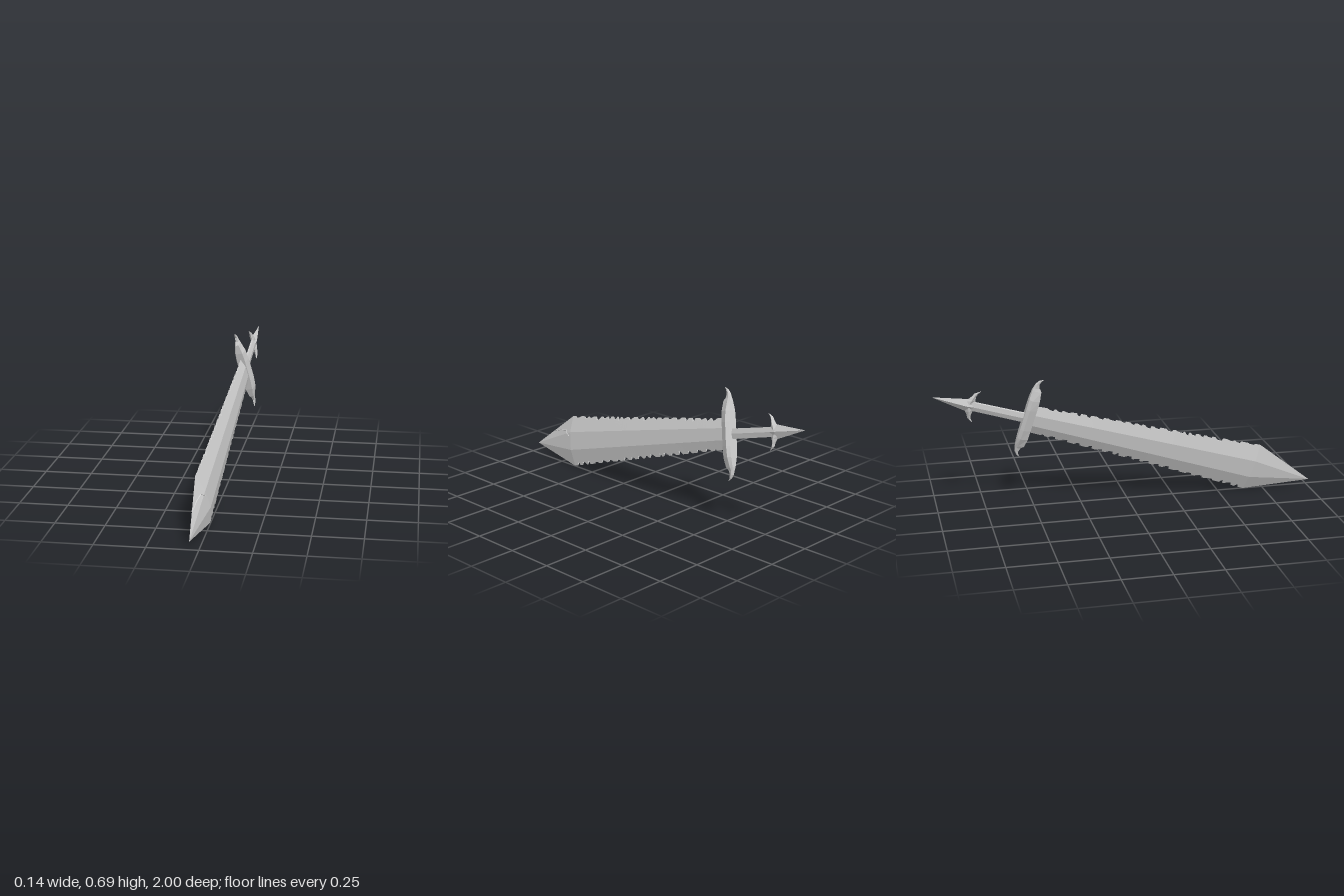
import * as THREE from 'three';

// Local frame: x runs from blade tip to pommel, y across the blade, z through it.
const material = new THREE.MeshStandardMaterial({ color: 0xcccccc, flatShading: true });

// Skin a row of equal-length closed cross-sections and cap both ends.
function loft(name, sections) {
  const pos = [];
  const tri = (a, b, c) => pos.push(...a, ...b, ...c);
  const n = sections[0].length;
  for (let i = 0; i < sections.length - 1; i++) {
    const s = sections[i], t = sections[i + 1];
    for (let j = 0; j < n; j++) {
      const k = (j + 1) % n;
      tri(s[j], s[k], t[k]);
      tri(s[j], t[k], t[j]);
    }
  }
  const first = sections[0], last = sections[sections.length - 1];
  for (let j = 1; j < n - 1; j++) {
    tri(first[0], first[j + 1], first[j]);
    tri(last[0], last[j], last[j + 1]);
  }
  const geometry = new THREE.BufferGeometry();
  geometry.setAttribute('position', new THREE.Float32BufferAttribute(pos, 3));
  geometry.computeVertexNormals();
  const mesh = new THREE.Mesh(geometry, material);
  mesh.name = name;
  return mesh;
}

function seeded(seed) {
  return () => (seed = (seed * 16807) % 2147483647) / 2147483647;
}

const SHOULDER = 0.335, BLADE_END = 1.56;

// Half width of the whole edge, and the ridges that bound the flat centre band.
function bladeSize(u) {
  const k = Math.min(u / SHOULDER, 1);
  const f = Math.max(0, (u - SHOULDER) / (BLADE_END - SHOULDER));
  return { half: k * (0.14 - 0.062 * f), ridge: k * (0.05 - 0.02 * f), thick: k * (0.027 - 0.01 * f) };
}

// Chipped edge: [position, depth] points, each chip a steep step and a sloping return.
function chips(seed) {
  const rnd = seeded(seed), pts = [[0, 0], [SHOULDER, 0]];
  let u = SHOULDER + 0.03;
  while (u < BLADE_END - 0.07) {
    const depth = 0.008 + 0.012 * rnd(), len = 0.018 + 0.028 * rnd();
    pts.push([u, 0], [u + 0.003, depth], [u + len * 0.6, depth * 0.75], [u + len, 0]);
    u += len + 0.006 + 0.035 * rnd();
  }
  pts.push([BLADE_END, 0]);
  return pts;
}

function depthAt(pts, u) {
  const i = pts.findIndex((p) => p[0] >= u);
  if (i <= 0) return 0;
  const [u0, d0] = pts[i - 1], [u1, d1] = pts[i];
  return d0 + (d1 - d0) * (u - u0) / (u1 - u0);
}

function makeBlade() {
  const top = chips(4211), bottom = chips(90127);
  const stations = [...new Set([...top, ...bottom].map((p) => p[0]))].sort((a, b) => a - b);
  return loft('blade', stations.map((u) => {
    const { half, ridge, thick } = bladeSize(u);
    const edge = (d) => thick * Math.min(1, d / Math.max(half - ridge, 0.001));
    const dt = depthAt(top, u), db = depthAt(bottom, u);
    const a = edge(dt), b = edge(db);
    return [
      [u, half - dt, -a], [u, half - dt, a], [u, ridge, thick], [u, -ridge, thick],
      [u, db - half, b], [u, db - half, -b], [u, -ridge, -thick], [u, ridge, -thick],
    ];
  }));
}

// Fine crack running in from the edge of the point.
function makeCrack() {
  const path = [[0.152, 0.062, 0.002], [0.229, 0.067, 0.004], [0.286, 0.063, 0.005], [0.305, 0.042, 0.005], [0.325, 0.028, 0.001]];
  return loft('crack', path.map(([u, v, r]) => {
    const { half, ridge, thick } = bladeSize(u);
    const w = thick * Math.min(1, Math.max(0, (half - v) / (half - ridge)));
    return [[u, v + r, w - 0.003], [u, v, w + 0.003], [u, v - r, w - 0.003]];
  }));
}

// Crossguard: faceted bar whose ends sweep into curled horns.
function makeGuard() {
  // [distance from centre, shift along sword, half length, half depth]
  const half = [
    [0.06, 0, 0.028, 0.036], [0.115, 0, 0.028, 0.031], [0.165, 0.002, 0.024, 0.016],
    [0.18, 0.008, 0.015, 0.011], [0.203, 0.008, 0.009, 0.008], [0.222, -0.002, 0.006, 0.005],
    [0.233, -0.016, 0.001, 0.001],
  ];
  const rows = [...half.map(([v, ...r]) => [-v, ...r]).reverse(), ...half];
  return loft('crossguard', rows.map(([v, s, l, w]) => {
    const c = 1.578 + s;
    return [
      [c - l, v, 0.6 * w], [c + 0.4 * l, v, w], [c + l, v, 0.65 * w],
      [c + l, v, -0.65 * w], [c + 0.4 * l, v, -w], [c - l, v, -0.6 * w],
    ];
  }));
}

// Grip: slim six-sided bar.
function makeGrip() {
  return loft('grip', [[1.59, 0.026], [1.89, 0.024]].map(([u, h]) => [
    [u, h, -0.006], [u, h, 0.006], [u, 0, 0.012], [u, -h, 0.006], [u, -h, -0.006], [u, 0, -0.012],
  ]));
}

// Pommel: diamond-section spike with a pair of hooked barbs.
function makePommel() {
  const group = new THREE.Group();
  group.name = 'pommel';
  const rows = [[1.862, 0.026, 0.012], [1.9, 0.036, 0.018], [2.083, 0.0005, 0.0005]];
  group.add(loft('pommelSpike', rows.map(([u, h, w]) => [[u, h, 0], [u, 0, w], [u, -h, 0], [u, 0, -w]])));
  for (const side of [1, -1]) {
    // [distance from axis, start, end, half depth]
    const barb = [
      [0.012, 1.86, 1.925, 0.014], [0.035, 1.866, 1.904, 0.013], [0.055, 1.868, 1.89, 0.01],
      [0.073, 1.863, 1.882, 0.007], [0.091, 1.852, 1.855, 0.001],
    ];
    const sections = barb.map(([v, a, b, w]) => {
      const m = (a + b) / 2;
      return [[a, side * v, 0], [m, side * v, w], [b, side * v, 0], [m, side * v, -w]];
    });
    // Sections run upward in y on both sides so faces stay outward.
    if (side < 0) sections.reverse();
    const mesh = loft(side > 0 ? 'upperBarb' : 'lowerBarb', sections.map((s) => [s[0], s[1], s[2], s[3]]));
    group.add(mesh);
  }
  return group;
}

export function createModel() {
  const sword = new THREE.Group();
  sword.name = 'sword';
  sword.add(makeBlade(), makeCrack(), makeGuard(), makeGrip(), makePommel());

  // Lay the sword at a slant, slightly rolled, point forward and down.
  const along = new THREE.Vector3(0.08, 0.575, -2).normalize();
  const across = new THREE.Vector3(-0.215, 0.94, 0.262);
  across.addScaledVector(along, -across.dot(along)).normalize();
  const through = new THREE.Vector3().crossVectors(along, across);
  const pose = new THREE.Matrix4().makeBasis(along, across, through).setPosition(-0.045, 0.04, 1);
  sword.applyMatrix4(pose);

  const model = new THREE.Group();
  model.add(sword);
  return model;
}
